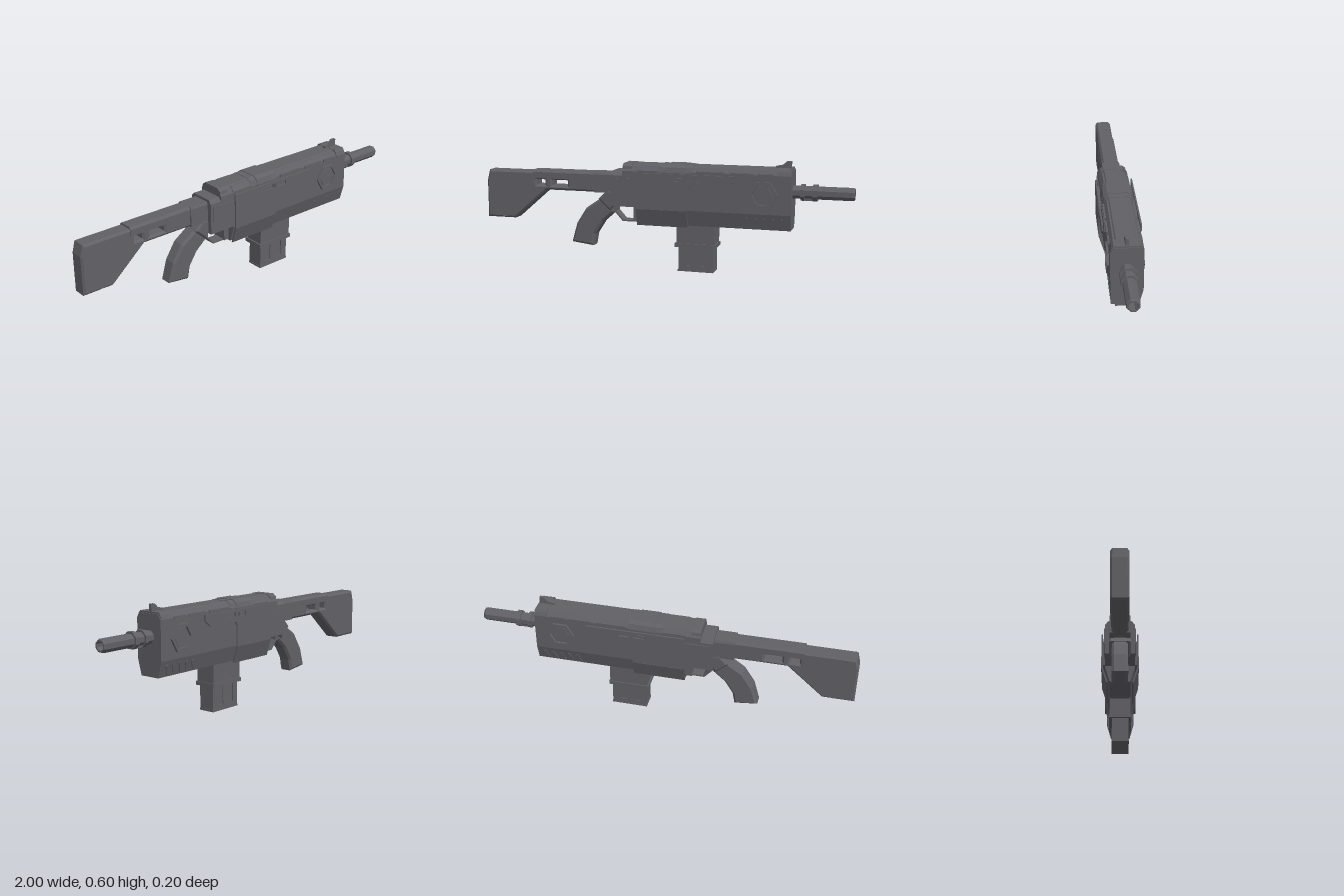
import * as THREE from 'three';

export function createModel() {
  const root = new THREE.Group();
  root.name = 'prop';
  const metal = new THREE.MeshStandardMaterial({ color: 0x616066, flatShading: true });
  metal.name = 'gunmetal grey';

  const add = (name, geo, parent = root) => {
    const m = new THREE.Mesh(geo, metal);
    m.name = name;
    parent.add(m);
    return m;
  };
  const box = (name, x0, x1, y0, y1, z0, z1, parent) => {
    const g = new THREE.BoxGeometry(x1 - x0, y1 - y0, z1 - z0);
    g.translate((x0 + x1) / 2, (y0 + y1) / 2, (z0 + z1) / 2);
    return add(name, g, parent);
  };
  const toShape = (pts, holes = []) => {
    const s = new THREE.Shape(pts.map(p => new THREE.Vector2(...p)));
    s.holes = holes.map(h => new THREE.Path(h.map(p => new THREE.Vector2(...p))));
    return s;
  };
  // side outline in x,y with total half thickness, optional chamfer
  const slab = (name, pts, half, chamfer = 0, holes = []) => {
    const depth = 2 * (half - chamfer);
    const g = new THREE.ExtrudeGeometry(toShape(pts, holes), {
      depth, bevelEnabled: chamfer > 0, bevelSize: chamfer, bevelThickness: chamfer,
      bevelOffset: -chamfer, bevelSegments: 1,
    });
    g.translate(0, 0, -depth / 2);
    return add(name, g);
  };
  // symmetric cross-section (half width, y), listed from top to bottom, along x
  const prism = (name, half, x0, x1) => {
    const pts = [...half, ...half.map(([w, y]) => [-w, y]).reverse()];
    const g = new THREE.ExtrudeGeometry(toShape(pts), { depth: x1 - x0, bevelEnabled: false });
    g.rotateY(Math.PI / 2);
    g.translate(x0, 0, 0);
    return add(name, g);
  };
  const rect = (x0, x1, y0, y1) => [[x0, y0], [x1, y0], [x1, y1], [x0, y1]];

  // Receiver body
  prism('body', [[0.06, 0.555], [0.078, 0.53], [0.078, 0.33], [0.055, 0.248]], -0.12, 0.69);
  prism('rearBody', [[0.06, 0.55], [0.078, 0.525], [0.078, 0.335]], -0.2, -0.12);
  prism('rearCap', [[0.06, 0.52], [0.078, 0.5], [0.078, 0.335]], -0.265, -0.2);
  box('lowerReceiver', -0.12, 0.09, 0.242, 0.25, -0.05, 0.05);

  // Top rail, its saddle and the rear block
  prism('topRail', [[0.046, 0.561], [0.056, 0.55]], -0.2, 0.65);
  prism('rearBlock', [[0.05, 0.563], [0.068, 0.55], [0.072, 0.53]], -0.2, -0.15);
  prism('railSaddle', [[0.052, 0.566], [0.072, 0.552], [0.082, 0.525], [0.082, 0.5]], 0.04, 0.14);
  prism('saddleStep', [[0.048, 0.563], [0.068, 0.551], [0.08, 0.525]], 0.0, 0.18);
  prism('frontCap', [[0.062, 0.563], [0.072, 0.55], [0.08, 0.53], [0.08, 0.522]], 0.62, 0.685);
  slab('frontSight', [[0.6, 0.56], [0.68, 0.56], [0.68, 0.598], [0.655, 0.598], [0.635, 0.578], [0.6, 0.572]], 0.008);

  // Paired side details
  for (const s of [1, -1]) {
    const side = new THREE.Group();
    side.name = s > 0 ? 'leftSide' : 'rightSide';
    root.add(side);

    // Armour plate with slots, its lower edge folding in toward the body
    const plate = new THREE.ExtrudeGeometry(toShape(
      [[-0.12, 0.33], [0.155, 0.33], [0.155, 0.44], [0.17, 0.458], [0.36, 0.458], [0.4, 0.49], [0.4, 0.52], [-0.12, 0.52]],
      [rect(0.09, 0.15, 0.485, 0.508), rect(0.17, 0.225, 0.485, 0.508)],
    ), { depth: 0.008, bevelEnabled: false });
    plate.translate(0, 0, s > 0 ? 0.09 : -0.098);
    add('armourPlate', plate, side);
    const fold = new THREE.BoxGeometry(0.275, 0.094, 0.008);
    fold.rotateX(s * 0.3);
    fold.translate(0.0175, 0.286, s * 0.081);
    add('plateFold', fold, side);
    const z = (a, b) => s > 0 ? [a, b] : [-b, -a];
    box('plateMount', -0.08, 0.13, 0.36, 0.5, ...z(0.076, 0.092), side);
    box('plateArm', 0.15, 0.37, 0.47, 0.51, ...z(0.076, 0.084), side);
    box('rearSidePanel', -0.25, -0.12, 0.4, 0.485, ...z(0.076, 0.083), side);

    // Upper edge strips
    for (const [x0, x1] of [[0.2, 0.35], [0.38, 0.5], [0.52, 0.6]])
      box('edgeStrip', x0, x1, 0.522, 0.537, ...z(0.068, 0.082), side);

    // Hexagonal port with raised rim and end tabs
    const hex = r => [...Array(6)].map((_, i) =>
      [0.55 + r * Math.cos(i * Math.PI / 3), 0.43 + r * Math.sin(i * Math.PI / 3)]);
    const rim = new THREE.ExtrudeGeometry(toShape(hex(0.076), [hex(0.058)]), { depth: 0.012, bevelEnabled: false });
    rim.translate(0, 0, s > 0 ? 0.077 : -0.089);
    add('hexRim', rim, side);
    const hub = new THREE.ExtrudeGeometry(toShape(hex(0.05)), { depth: 0.006, bevelEnabled: false });
    hub.translate(0, 0, s > 0 ? 0.076 : -0.082);
    add('hexHub', hub, side);

    // Slanted ribs on the lower chamfer
    for (let i = 0; i < 5; i++) {
      const rib = new THREE.BoxGeometry(0.012, 0.055, 0.008);
      rib.rotateZ(-0.35);
      rib.rotateX(s * 0.275);
      rib.translate(0.46 + i * 0.045, 0.283, s * 0.065);
      add('ventRib', rib, side);
    }
  }

  // Barrel: octagonal tube with an open bore, plus collars
  const octagon = (name, pts) => {
    const g = new THREE.LatheGeometry(pts.map(p => new THREE.Vector2(...p)), 8, Math.PI / 8);
    g.rotateZ(-Math.PI / 2);
    g.translate(0, 0.442, 0);
    return add(name, g);
  };
  octagon('barrel', [[0.034, 0.67], [0.034, 0.99], [0.03, 1], [0.022, 1], [0.022, 0.93], [0, 0.93]]);
  for (const [x0, x1] of [[0.73, 0.75], [0.79, 0.815]])
    octagon('barrelCollar', [[0, x0], [0.044, x0], [0.044, x1], [0, x1]]);
  box('barrelUnderBlock', 0.735, 0.81, 0.402, 0.42, -0.016, 0.016);

  // Magazine well and magazine
  box('magazineWell', 0.09, 0.295, 0.14, 0.27, -0.055, 0.055);
  box('wellCollar', 0.082, 0.3, 0.132, 0.152, -0.06, 0.06);
  box('magazine', 0.1, 0.283, 0.005, 0.14, -0.039, 0.039);
  box('magazineBase', 0.095, 0.288, 0, 0.01, -0.046, 0.046);
  box('magazineFoot', 0.098, 0.286, 0.01, 0.03, -0.044, 0.044);
  for (const [x0, x1] of [[0.098, 0.13], [0.17, 0.207], [0.248, 0.286]])
    box('magazineRib', x0, x1, 0.02, 0.135, -0.044, 0.044);

  // Grip, its collar and the trigger guard
  slab('grip', [[-0.3, 0.42], [-0.34, 0.365], [-0.42, 0.31], [-0.475, 0.225], [-0.505, 0.12], [-0.382, 0.105],
    [-0.37, 0.17], [-0.325, 0.24], [-0.262, 0.295], [-0.25, 0.4]].reverse(), 0.04, 0.012);
  slab('gripCollar', [[-0.345, 0.365], [-0.28, 0.305], [-0.25, 0.335], [-0.25, 0.4], [-0.29, 0.42]], 0.055, 0.01);
  slab('triggerGuard', [[-0.275, 0.315], [-0.215, 0.248], [-0.11, 0.248], [-0.11, 0.256], [-0.21, 0.256],
    [-0.25, 0.3], [-0.25, 0.34], [-0.275, 0.34]], 0.03);
  box('guardFrontPost', -0.15, -0.11, 0.25, 0.34, -0.04, 0.04);

  // Skeleton stock with cut-outs and a raised upper sleeve
  slab('stock', [[-1, 0.235], [-0.835, 0.235], [-0.645, 0.4], [-0.25, 0.4], [-0.25, 0.498], [-0.985, 0.498], [-1, 0.44]],
    0.043, 0.01, [
      [[-0.905, 0.252], [-0.89, 0.252], [-0.72, 0.405], [-0.72, 0.455], [-0.905, 0.455]],
      [[-0.705, 0.425], [-0.655, 0.425], [-0.655, 0.455], [-0.705, 0.455]],
      rect(-0.615, -0.525, 0.425, 0.455),
    ]);
  prism('stockSleeve', [[0.034, 0.507], [0.046, 0.495], [0.046, 0.462]], -0.725, -0.25);
  prism('stockSocket', [[0.046, 0.507], [0.052, 0.495], [0.052, 0.4]], -0.37, -0.26);

  return root;
}
